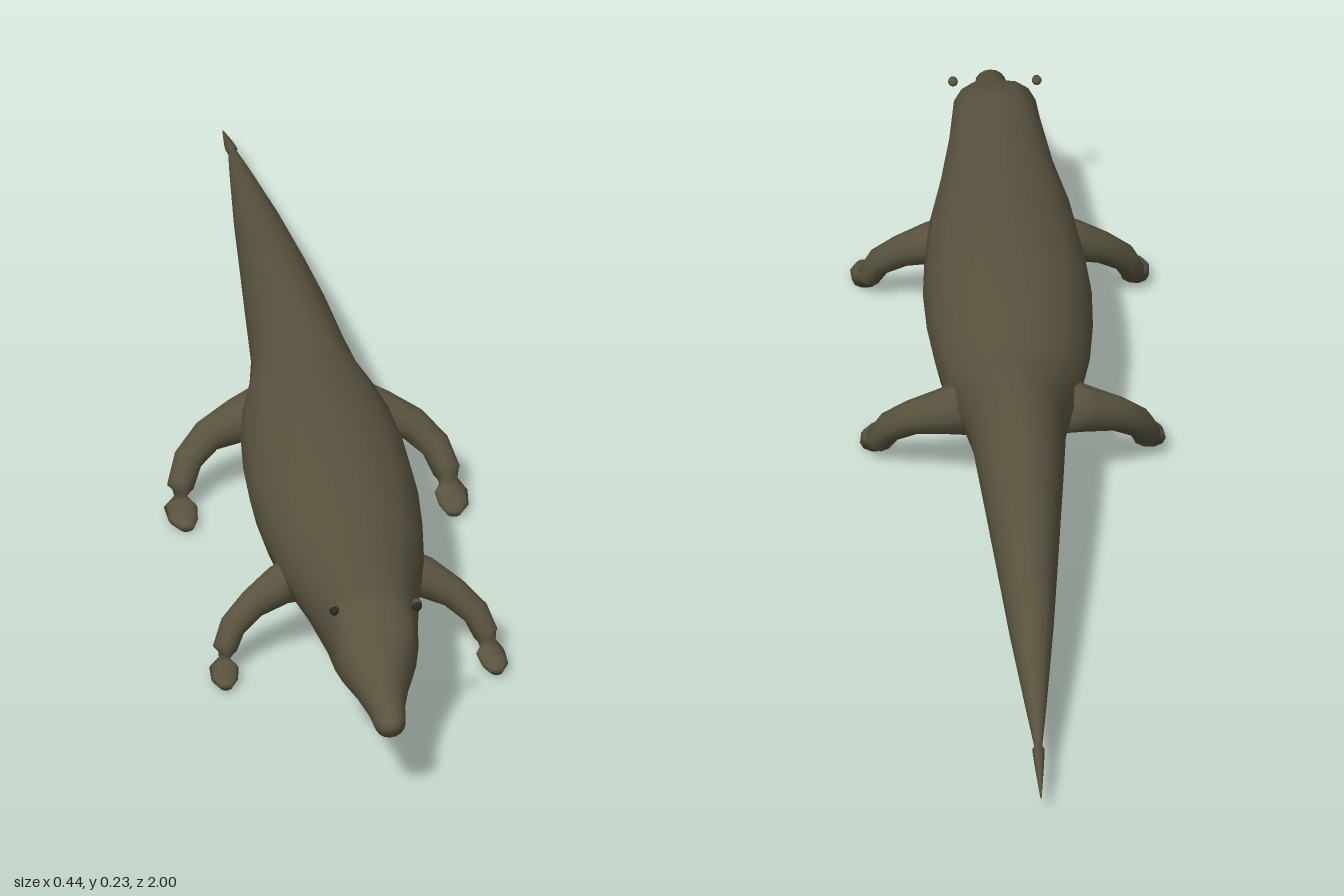
import * as THREE from 'three';

const hide = new THREE.MeshStandardMaterial({ color: 0x59533f });
hide.name = 'olive hide';
const dark = new THREE.MeshStandardMaterial({ color: 0x2b2a22 });
dark.name = 'dark eye';

// Skin a row of rings (arrays of Vector3, counter-clockwise about the direction of travel), closing both ends
function loft(rings) {
  const n = rings[0].length, pos = [], index = [];
  rings.forEach(r => r.forEach(p => pos.push(p.x, p.y, p.z)));
  for (let i = 0; i < rings.length - 1; i++) {
    for (let j = 0; j < n; j++) {
      const a = i * n + j, b = i * n + (j + 1) % n;
      index.push(a, b, a + n, b, b + n, a + n);
    }
  }
  [0, rings.length - 1].forEach(k => {
    const c = new THREE.Vector3();
    rings[k].forEach(p => c.addScaledVector(p, 1 / n));
    const centre = pos.length / 3;
    pos.push(c.x, c.y, c.z);
    for (let j = 0; j < n; j++) {
      const a = k * n + j, b = k * n + (j + 1) % n;
      if (k === 0) index.push(centre, b, a);
      else index.push(centre, a, b);
    }
  });
  const g = new THREE.BufferGeometry();
  g.setAttribute('position', new THREE.Float32BufferAttribute(pos, 3));
  g.setIndex(index);
  g.computeVertexNormals();
  return g;
}

// Upright body section: z, half width, bottom, top, squareness (1 = ellipse)
function section([z, w, y0, y1, power = 1], sides = 16) {
  const round = v => Math.sign(v) * Math.abs(v) ** power;
  return Array.from({ length: sides }, (_, j) => {
    const a = j / sides * Math.PI * 2;
    return new THREE.Vector3(w * round(Math.cos(a)), (y0 + y1) / 2 + (y1 - y0) / 2 * round(Math.sin(a)), z);
  });
}

// Limb along points [x, y, z, half width, half thickness]
function limb(points, side, sides = 10) {
  const centres = points.map(p => new THREE.Vector3(p[0] * side, p[1], p[2]));
  return loft(points.map((p, i) => {
    const t = centres[Math.min(i + 1, points.length - 1)].clone()
      .sub(centres[Math.max(i - 1, 0)]).normalize();
    const ref = new THREE.Vector3(side * 0.45, 0.3, -1);
    const v = ref.addScaledVector(t, -ref.dot(t)).normalize();
    // Feet lie flat, so their sections stand upright
    if (i >= points.length - 3) v.set(0, 1, 0).addScaledVector(t, -t.y).normalize();
    const u = v.clone().cross(t).normalize();
    return Array.from({ length: sides }, (_, j) => {
      const a = j / sides * Math.PI * 2;
      const q = centres[i].clone().addScaledVector(u, p[3] * Math.cos(a)).addScaledVector(v, p[4] * Math.sin(a));
      q.y = Math.max(q.y, 0.001);
      return q;
    });
  }));
}

export function createModel() {
  const model = new THREE.Group();
  model.name = 'reptile';
  const add = (name, geometry, material = hide, parent = model) => {
    const m = new THREE.Mesh(geometry, material);
    m.name = name;
    parent.add(m);
    return m;
  };

  // Tail, trunk, neck and snout in one skin
  add('body', loft([
    [-0.91, 0.004, 0.047, 0.056], [-0.8, 0.015, 0.051, 0.083],
    [-0.6, 0.033, 0.053, 0.131], [-0.4, 0.048, 0.055, 0.174],
    [-0.25, 0.059, 0.055, 0.201], [-0.1, 0.069, 0.051, 0.219],
    [-0.03, 0.08, 0.049, 0.214], [0.03, 0.096, 0.047, 0.214],
    [0.12, 0.111, 0.041, 0.222], [0.22, 0.119, 0.037, 0.228],
    [0.32, 0.121, 0.035, 0.23], [0.42, 0.115, 0.04, 0.227],
    [0.53, 0.104, 0.052, 0.22], [0.65, 0.083, 0.066, 0.215],
    [0.76, 0.067, 0.077, 0.218, 0.85], [0.812, 0.062, 0.081, 0.214, 0.75],
    [0.835, 0.055, 0.082, 0.187, 0.85], [0.88, 0.041, 0.084, 0.166],
    [0.94, 0.027, 0.088, 0.15], [0.985, 0.022, 0.094, 0.136], [1, 0.012, 0.104, 0.125],
  ].map(s => section(s))));

  // Pointed tail tip
  add('tailTip', loft([
    [-1, 0.001, 0.027, 0.031], [-0.93, 0.007, 0.036, 0.054],
    [-0.9, 0.009, 0.043, 0.063], [-0.885, 0.003, 0.05, 0.06],
  ].map(s => section(s, 6))));

  for (const side of [1, -1]) {
    const label = side > 0 ? 'left' : 'right';

    // Sprawling legs bending forward into flat feet
    add(label + 'FrontLeg', limb([
      [0.07, 0.115, 0.52, 0.036, 0.036], [0.105, 0.105, 0.525, 0.03, 0.03],
      [0.145, 0.085, 0.54, 0.023, 0.022], [0.175, 0.06, 0.556, 0.02, 0.02],
      [0.188, 0.032, 0.57, 0.018, 0.018], [0.192, 0.013, 0.592, 0.021, 0.014],
      [0.195, 0.01, 0.625, 0.019, 0.009], [0.195, 0.009, 0.645, 0.009, 0.006],
    ], side));
    add(label + 'HindLeg', limb([
      [0.065, 0.115, 0.015, 0.042, 0.042], [0.105, 0.105, 0.02, 0.033, 0.033],
      [0.148, 0.09, 0.032, 0.025, 0.025], [0.178, 0.065, 0.052, 0.022, 0.022],
      [0.192, 0.034, 0.075, 0.02, 0.02], [0.195, 0.014, 0.1, 0.024, 0.014],
      [0.195, 0.01, 0.135, 0.021, 0.009], [0.192, 0.009, 0.158, 0.01, 0.006],
    ], side));

    // Small raised eyes at the corners of the brow
    const eye = new THREE.Group();
    eye.name = label + 'Eye';
    eye.position.set(side * 0.06, 0.212, 0.812);
    model.add(eye);
    add('eyeball', new THREE.SphereGeometry(0.007, 8, 6), dark, eye);
    add('brow', new THREE.SphereGeometry(0.009, 8, 6).scale(0.8, 0.7, 1).translate(0, 0.002, -0.005), hide, eye);
  }
  return model;
}
